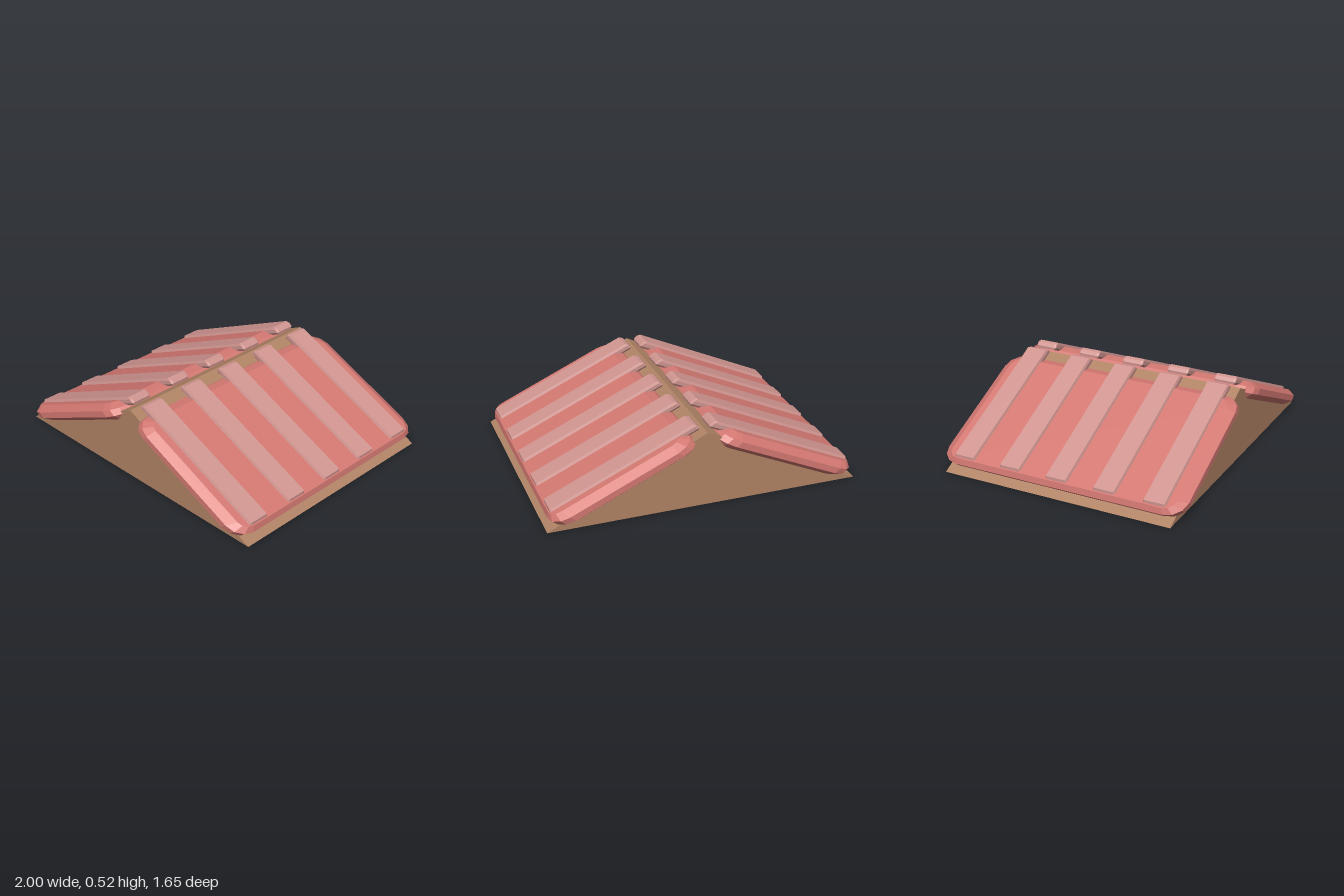
import * as THREE from 'three';

const SLOPE = 0.424; // roof pitch in radians

// Rounded-rectangle outline in the slope plane: centre cu, half length hu, half width hz
function outline(cu, n, hu, hz, r, steps) {
  const pts = [];
  const corners = [[1, 1], [-1, 1], [-1, -1], [1, -1]];
  corners.forEach(([sx, sz], k) => {
    for (let i = 0; i <= steps; i++) {
      const a = (k + i / steps) * Math.PI / 2;
      pts.push([cu + sx * (hu - r) + r * Math.cos(a), n, sz * (hz - r) + r * Math.sin(a)]);
    }
  });
  return pts;
}

// Flat-shaded solid through a stack of outlines, bottom to top
function loft(rings) {
  const pos = [];
  const tri = (a, b, c) => pos.push(...a, ...b, ...c);
  const count = rings[0].length;
  for (let k = 0; k < rings.length - 1; k++) {
    const a = rings[k], b = rings[k + 1];
    for (let i = 0; i < count; i++) {
      const j = (i + 1) % count;
      tri(a[i], b[i], a[j]);
      tri(a[j], b[i], b[j]);
    }
  }
  const low = rings[0], top = rings[rings.length - 1];
  for (let i = 1; i < count - 1; i++) {
    tri(low[0], low[i], low[i + 1]);
    tri(top[0], top[i + 1], top[i]);
  }
  const g = new THREE.BufferGeometry();
  g.setAttribute('position', new THREE.Float32BufferAttribute(pos, 3));
  g.computeVertexNormals();
  return g;
}

export function createModel() {
  const wood = new THREE.MeshStandardMaterial({ color: 0xb08365, flatShading: true });
  wood.name = 'brownWood';
  const red = new THREE.MeshStandardMaterial({ color: 0xd47872, flatShading: true });
  red.name = 'redTile';
  const pink = new THREE.MeshStandardMaterial({ color: 0xd09590, flatShading: true });
  pink.name = 'palePinkSlat';

  const roof = new THREE.Group();
  roof.name = 'gableRoof';
  const add = (parent, geometry, material, name) => {
    const mesh = new THREE.Mesh(geometry, material);
    mesh.name = name;
    parent.add(mesh);
    return mesh;
  };

  // Triangular core
  const gable = new THREE.Shape([
    new THREE.Vector2(-1, 0), new THREE.Vector2(1, 0), new THREE.Vector2(0, 0.485),
  ]);
  const core = new THREE.ExtrudeGeometry(gable, { depth: 1.54, bevelEnabled: false });
  core.translate(0, 0, -0.77);
  add(roof, core, wood, 'gableCore');

  // Bevelled, slightly skewed panel: height, half length, half width, corner radius
  const panel = loft([
    [0.385, 0.44, 0.775, 0.08],
    [0.42, 0.486, 0.825, 0.12],
    [0.46, 0.486, 0.825, 0.12],
    [0.493, 0.446, 0.77, 0.07],
  ].map(([n, hu, hz, r]) => outline(0.371 + 0.55 * (n - 0.44), n, hu, hz, r, 3)));

  // Thin bevelled slat running down the slope
  const slat = loft([
    [0.455, 0.488, 0.062, 0.006],
    [0.469, 0.502, 0.073, 0.012],
    [0.493, 0.502, 0.073, 0.012],
    [0.509, 0.488, 0.066, 0.006],
  ].map(([n, hu, hz, r]) => outline(0.343 + 0.45 * (n - 0.509), n, hu, hz, r, 2)));

  // Both slopes; the right one is the left one turned half round
  ['left', 'right'].forEach((label, side) => {
    const half = new THREE.Group();
    half.name = label + 'Slope';
    half.rotation.y = side * Math.PI;
    const tilt = new THREE.Group();
    tilt.name = label + 'Covering';
    tilt.rotation.z = -SLOPE;
    add(tilt, panel, red, label + 'Panel');
    [-0.648, -0.322, 0, 0.322, 0.648].forEach((z, i) => {
      add(tilt, slat, pink, label + 'Slat' + (i + 1)).position.z = z;
    });
    half.add(tilt);
    roof.add(half);
  });
  return roof;
}
